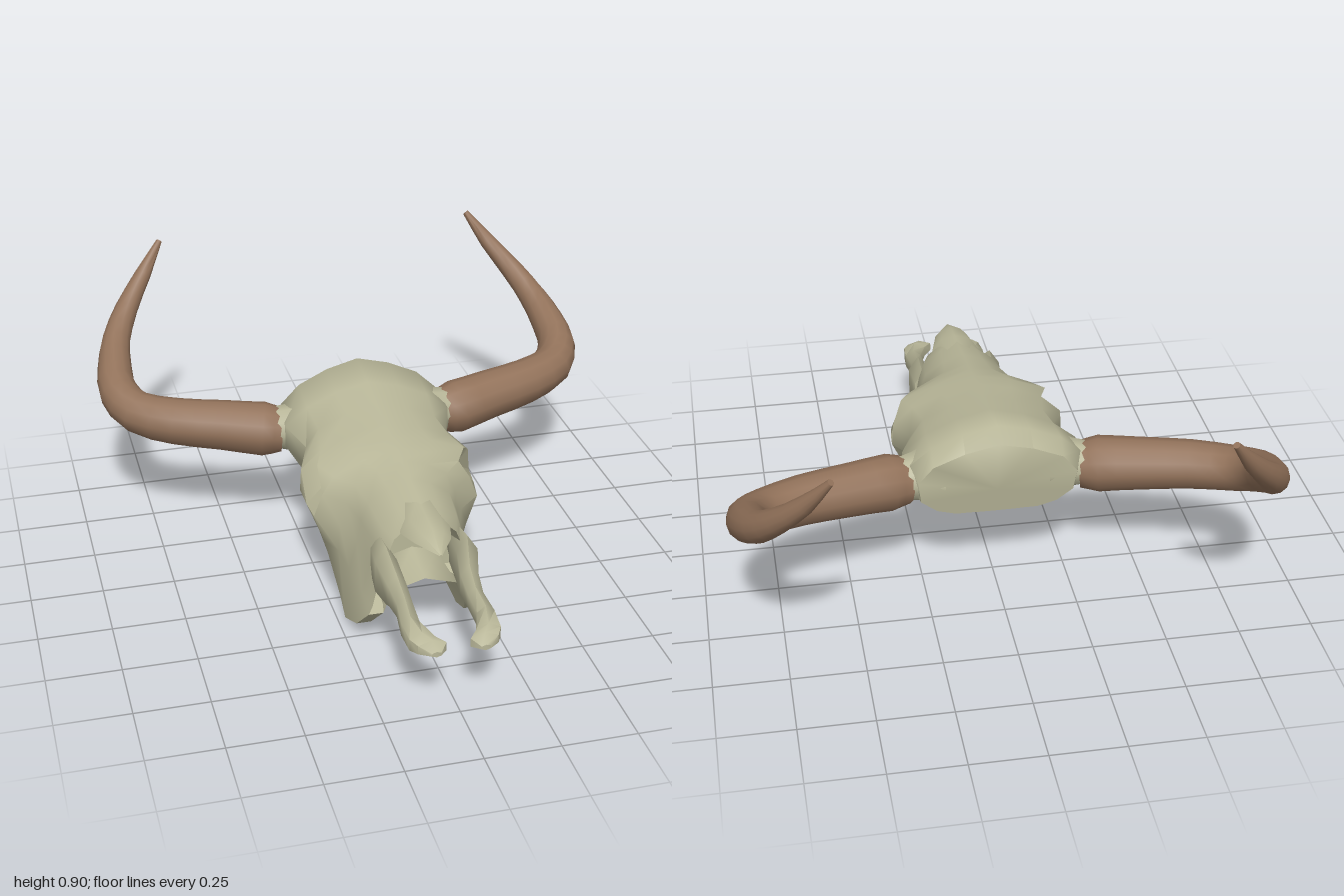
import * as THREE from 'three';
import { toCreasedNormals } from 'three/addons/utils/BufferGeometryUtils.js';

const bone = new THREE.MeshStandardMaterial({ color: 0xb9b799, side: THREE.DoubleSide });
const hornMat = new THREE.MeshStandardMaterial({ color: 0x92725a });
const V = (x, y, z) => new THREE.Vector3(x, y, z);

// Skin a list of equal-sized rings (counterclockwise about the loft direction), closed at both ends
function loft(rings) {
  const n = rings[0].length, pos = [], idx = [];
  rings.forEach(r => r.forEach(p => pos.push(p.x, p.y, p.z)));
  for (let i = 0; i < rings.length - 1; i++) {
    for (let j = 0; j < n; j++) {
      const a = i * n + j, b = i * n + (j + 1) % n;
      idx.push(a, b, b + n, a, b + n, a + n);
    }
  }
  [0, rings.length - 1].forEach(i => {
    const c = V(0, 0, 0);
    rings[i].forEach(p => c.addScaledVector(p, 1 / n));
    const ci = pos.length / 3;
    pos.push(c.x, c.y, c.z);
    for (let j = 0; j < n; j++) {
      const a = i * n + j, b = i * n + (j + 1) % n;
      if (i === 0) idx.push(ci, b, a); else idx.push(ci, a, b);
    }
  });
  const g = new THREE.BufferGeometry();
  g.setAttribute('position', new THREE.Float32BufferAttribute(pos, 3));
  g.setIndex(idx);
  return toCreasedNormals(g, 1.0);
}

const mirror = rings => rings.map(r => r.map(p => V(-p.x, p.y, p.z)).reverse());

// Symmetric ring from a half section running top centre to bottom centre; lean pushes the bottom forward
function symRing(half, z, lean = 0) {
  const top = half[0][1];
  const at = ([x, y], side) => V(side * x, y, z + lean * (top - y) / 0.3);
  return [...half.map(p => at(p, -1)), ...half.slice(1, -1).reverse().map(p => at(p, 1))];
}

// Round rings along [x, y, z, radius] stations, tapering with the radius
function taperRings(stations, sides, perSpan) {
  const curve = new THREE.CatmullRomCurve3(stations.map(s => V(s[0], s[1], s[2])));
  const spans = stations.length - 1, rings = [];
  for (let i = 0; i <= spans * perSpan; i++) {
    const t = i / (spans * perSpan), s = Math.min(Math.floor(i / perSpan), spans - 1);
    const r = THREE.MathUtils.lerp(stations[s][3], stations[s + 1][3], i / perSpan - s);
    const c = curve.getPoint(t), d = curve.getTangent(t);
    const u = V(0, 1, 0).cross(d).normalize(), v = d.clone().cross(u);
    rings.push(Array.from({ length: sides }, (_, j) => {
      const a = j / sides * Math.PI * 2;
      return c.clone().addScaledVector(u, r * Math.cos(a)).addScaledVector(v, r * Math.sin(a));
    }));
  }
  return rings;
}

// Straight sloping crown and a shallow arched palate; widths vary along z
function skullRings() {
  // z, half widths at brow, eye, cheek and tooth row, then height of the tooth row
  const stations = [
    [-.38, .22, .27, .26, .14, .3],
    [-.33, .22, .29, .29, .16, .28],
    [-.18, .22, .3, .3, .17, .235],
    [-.05, .21, .255, .25, .16, .205],
    [.07, .23, .3, .305, .2, .185],
    [.15, .26, .225, .3, .21, .145],
    [.22, .22, .26, .29, .21, .06],
    [.28, .16, .19, .215, .215, .025],
    [.38, .14, .165, .18, .222, 0],
    [.5, .13, .15, .165, .212, .05],
    [.58, .105, .13, .155, .19, .13]
  ];
  const rings = stations.map(([z, brow, eye, cheek, tooth, toothY]) => {
    const top = z < -.35 ? .585 : .575 - .167 * z;
    const palate = .195 + (z < .07 ? .23 * (.07 - z) : .09 * (z - .07));
    return symRing([
      [0, top], [brow * .52, top - .028], [brow, top - .075], [eye, top - .14], [cheek, top - .22],
      [(cheek + tooth) / 2 + .005, Math.max(top - .32, toothY + .02)],
      [tooth, toothY], [tooth - .05, toothY],
      [(tooth - .05) * .8, palate + (toothY - palate) * .3], [0, palate]
    ], z, z < -.3 ? .045 : 0);
  });
  // nasal cavity folded back into the muzzle
  rings.push(rings.at(-1).map(p => V(p.x * .75, .36 + (p.y - .36) * .75, .42)));
  return rings;
}

// Pointed nasal bone from z, half width, top and bottom
function nasalRings() {
  return [
    [.48, .07, .492, .42], [.58, .085, .482, .41], [.67, .06, .47, .425], [.76, .004, .435, .43]
  ].map(([z, w, t, b]) => {
    const h = t - b;
    return symRing([[0, t], [w * .6, t - h * .2], [w, b + h * .2], [w * .4, b + h * .25], [0, b + h * .4]], z);
  });
}

// Forked front of the upper jaw from z, centre x, centre y, half width and half height
function prongRings() {
  return [
    [.5, .135, .29, .03, .09], [.6, .137, .285, .038, .11], [.68, .122, .262, .032, .07],
    [.76, .118, .25, .027, .048], [.85, .124, .237, .031, .045], [.93, .108, .23, .043, .04],
    [.965, .085, .23, .048, .03], [1, .08, .228, .016, .01]
  ].map(([z, x, y, w, h]) => Array.from({ length: 6 }, (_, j) => {
    const a = j / 6 * Math.PI * 2 + Math.PI / 6;
    return V(x + w * 1.1 * Math.cos(a), y + h * Math.sin(a), z);
  }));
}

// Horn sweeping out, then back and up to the tip
const hornPath = [
  [.295, .41, -.27, .08], [.36, .415, -.282, .097], [.5, .427, -.325, .09],
  [.66, .438, -.375, .084], [.79, .455, -.45, .077], [.842, .495, -.54, .071],
  [.84, .55, -.65, .062], [.815, .61, -.76, .052], [.76, .69, -.855, .042],
  [.68, .79, -.935, .03], [.605, .895, -.99, .011]
];
const corePath = [[.2, .42, -.25, .11], [.27, .42, -.265, .085], [.35, .42, -.28, .07]];

export function createModel() {
  const root = new THREE.Group();
  root.name = 'hornedSkull';
  const add = (name, rings, mat) => {
    const m = new THREE.Mesh(loft(rings), mat);
    m.name = name;
    root.add(m);
  };
  const addPair = (name, rings, mat) => {
    add(name + 'Left', rings, mat);
    add(name + 'Right', mirror(rings), mat);
  };

  add('skull', skullRings(), bone);
  add('nasalBone', nasalRings(), bone);
  addPair('jawProng', prongRings(), bone);
  addPair('hornCore', taperRings(corePath, 10, 1), bone);
  addPair('horn', taperRings(hornPath, 12, 2), hornMat);
  return root;
}
